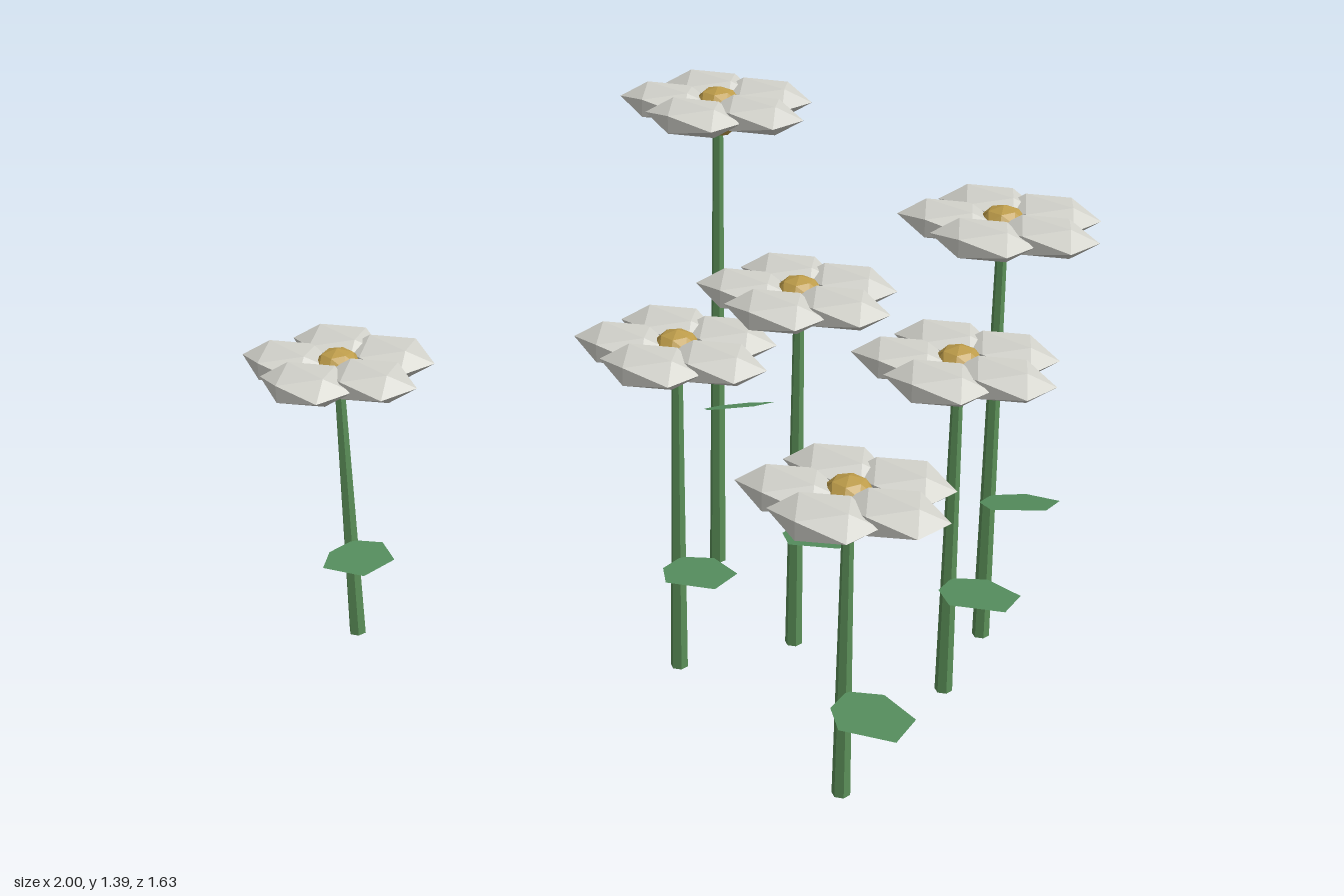
import * as THREE from 'three';

const mat = (color, side = THREE.FrontSide) =>
  new THREE.MeshStandardMaterial({ color, flatShading: true, side });

// x, z and height of the petal ring of each flower
const FLOWERS = [
  [-0.77, 0.59, 0.78],
  [-0.39, -0.39, 1.345],
  [-0.04, 0.09, 0.905],
  [0.085, -0.21, 1.0],
  [0.405, -0.6, 1.17],
  [0.52, -0.315, 0.915],
  [0.66, 0.22, 0.8],
];

// Leaf outline seen from above, from the stem round to the tip and back
const LEAF = [[0.01, 0], [0.06, 0.11], [0.18, 0.212], [0.34, 0.2], [0.275, 0.06], [0.1, -0.03]];

// Flat leaf whose rise grows with the flower's height
function leafGeometry(h) {
  const points = LEAF.flatMap(([x, z]) => [x, h * (0.36 + 0.29 * (x - 0.01) + 0.15 * z), z]);
  const g = new THREE.BufferGeometry();
  g.setAttribute('position', new THREE.Float32BufferAttribute(points, 3));
  const index = [];
  for (let i = 1; i < LEAF.length - 1; i++) index.push(0, i, i + 1);
  g.setIndex(index);
  g.computeVertexNormals();
  return g;
}

export function createModel() {
  const model = new THREE.Group();
  model.name = 'flowerPatch';
  const petalMat = mat(0xd2d2cb);
  const centreMat = mat(0xbd9c4a);
  const stemMat = mat(0x5b8f58);
  const leafMat = mat(0x5b9764, THREE.DoubleSide);

  const petalGeo = new THREE.IcosahedronGeometry(1, 0).scale(0.143, 0.044, 0.106);
  const centreGeo = new THREE.IcosahedronGeometry(0.067, 1);

  for (const [x, z, h] of FLOWERS) {
    const flower = new THREE.Group();
    flower.name = 'flower';
    flower.position.set(x, 0, z);
    const add = (name, geo, material, px = 0, py = 0, pz = 0) => {
      const mesh = new THREE.Mesh(geo, material);
      mesh.name = name;
      mesh.position.set(px, py, pz);
      flower.add(mesh);
    };

    // Tapered stem and its single leaf
    const stemH = h - 0.04;
    add('stem', new THREE.CylinderGeometry(0.014, 0.023, stemH, 6), stemMat, 0, stemH / 2, 0);
    add('leaf', leafGeometry(h), leafMat);

    // Flower head: centre and a ring of five petals
    add('flowerCentre', centreGeo, centreMat, 0, h - 0.02, 0);
    for (let i = 0; i < 5; i++) {
      const a = (i / 5) * Math.PI * 2;
      add('petal', petalGeo, petalMat, 0.134 * Math.cos(a), h, 0.134 * Math.sin(a));
    }
    model.add(flower);
  }
  return model;
}
